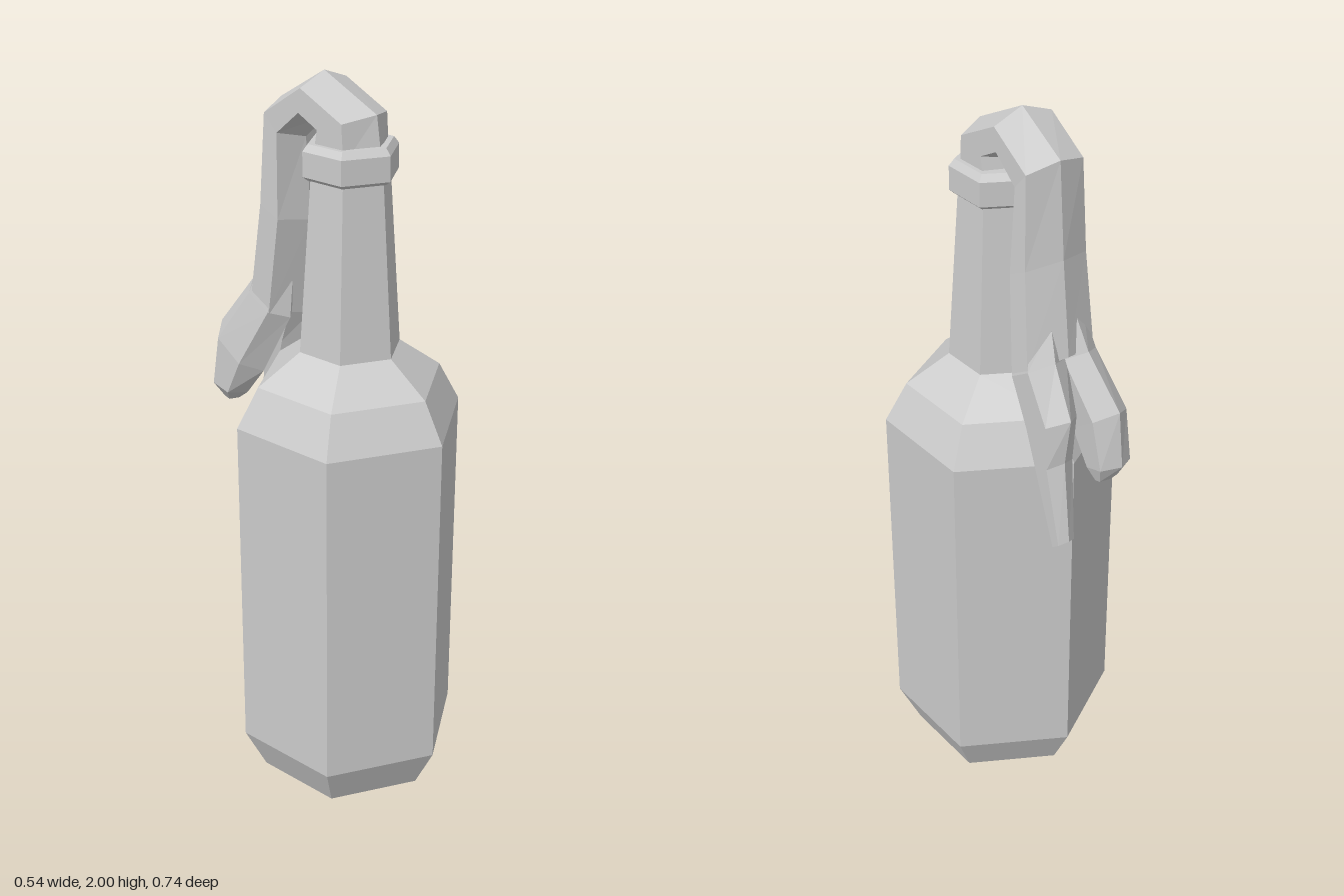
import * as THREE from 'three';

const material = new THREE.MeshStandardMaterial({ color: 0xcccccc, flatShading: true });

// Six-sided loft along a bent path. Each section is
// [centre x, half width, outer ridge z, outer ridge y, inner ridge z, inner ridge y].
function clothLoft(name, sections) {
  const positions = [];
  const index = [];
  for (const [cx, w, oz, oy, iz, iy] of sections) {
    const corners = [[0, 0], [w, 0.25], [w, 0.75], [0, 1], [-w, 0.75], [-w, 0.25]];
    for (const [dx, t] of corners) {
      positions.push(cx + dx, oy + (iy - oy) * t, oz + (iz - oz) * t);
    }
  }
  const last = (sections.length - 1) * 6;
  for (let s = 0; s < last; s += 6) {
    for (let j = 0; j < 6; j++) {
      const a = s + j, b = s + (j + 1) % 6;
      index.push(a, b, b + 6, a, b + 6, a + 6);
    }
  }
  // End caps
  for (let j = 1; j < 5; j++) {
    index.push(0, j + 1, j, last, last + j, last + j + 1);
  }
  const geometry = new THREE.BufferGeometry();
  geometry.setAttribute('position', new THREE.Float32BufferAttribute(positions, 3));
  geometry.setIndex(index);
  geometry.computeVertexNormals();
  const mesh = new THREE.Mesh(geometry, material);
  mesh.name = name;
  return mesh;
}

// Hexagonal turned part from [radius, height] pairs
function hexLathe(name, profile) {
  const points = profile.map(([r, y]) => new THREE.Vector2(r, y));
  const mesh = new THREE.Mesh(new THREE.LatheGeometry(points, 6), material);
  mesh.name = name;
  mesh.position.z = 0.057;
  return mesh;
}

export function createModel() {
  const model = new THREE.Group();
  model.name = 'bottleWithRag';

  // Bottle body, shoulder and neck
  model.add(hexLathe('bottle', [
    [0, 0], [0.254, 0], [0.314, 0.12], [0.314, 1.09],
    [0.255, 1.2], [0.139, 1.285], [0.107, 1.75], [0, 1.75],
  ]));

  // Collar around the mouth
  model.add(hexLathe('lip', [
    [0, 1.745], [0.115, 1.745], [0.128, 1.755], [0.128, 1.82], [0.114, 1.838], [0, 1.838],
  ]));

  // Rag stuffed in the mouth, folding over the back and splitting into two tails
  const rag = new THREE.Group();
  rag.name = 'rag';
  rag.add(clothLoft('ragTrunk', [
    [0, 0.087, 0.157, 1.8, -0.043, 1.8],
    [0, 0.087, 0.14, 1.915, -0.02, 1.86],
    [0, 0.087, -0.032, 2.0, -0.045, 1.875],
    [0, 0.087, -0.18, 1.91, -0.095, 1.82],
    [0.006, 0.095, -0.206, 1.66, -0.085, 1.6],
    [0.016, 0.106, -0.245, 1.41, -0.12, 1.33],
  ]));
  rag.add(clothLoft('longTail', [
    [0.05, 0.05, -0.215, 1.5, -0.12, 1.43],
    [0.062, 0.061, -0.25, 1.41, -0.12, 1.33],
    [0.07, 0.05, -0.325, 1.28, -0.17, 1.2],
    [0.075, 0.042, -0.31, 1.15, -0.225, 1.09],
    [0.083, 0.026, -0.344, 0.926, -0.296, 0.89],
  ]));
  rag.add(clothLoft('shortTail', [
    [-0.03, 0.045, -0.215, 1.5, -0.12, 1.43],
    [-0.04, 0.052, -0.255, 1.41, -0.12, 1.33],
    [-0.064, 0.056, -0.355, 1.27, -0.2, 1.16],
    [-0.068, 0.05, -0.368, 1.11, -0.26, 1.08],
    [-0.06, 0.03, -0.335, 1.06, -0.3, 1.05],
  ]));
  model.add(rag);

  return model;
}
